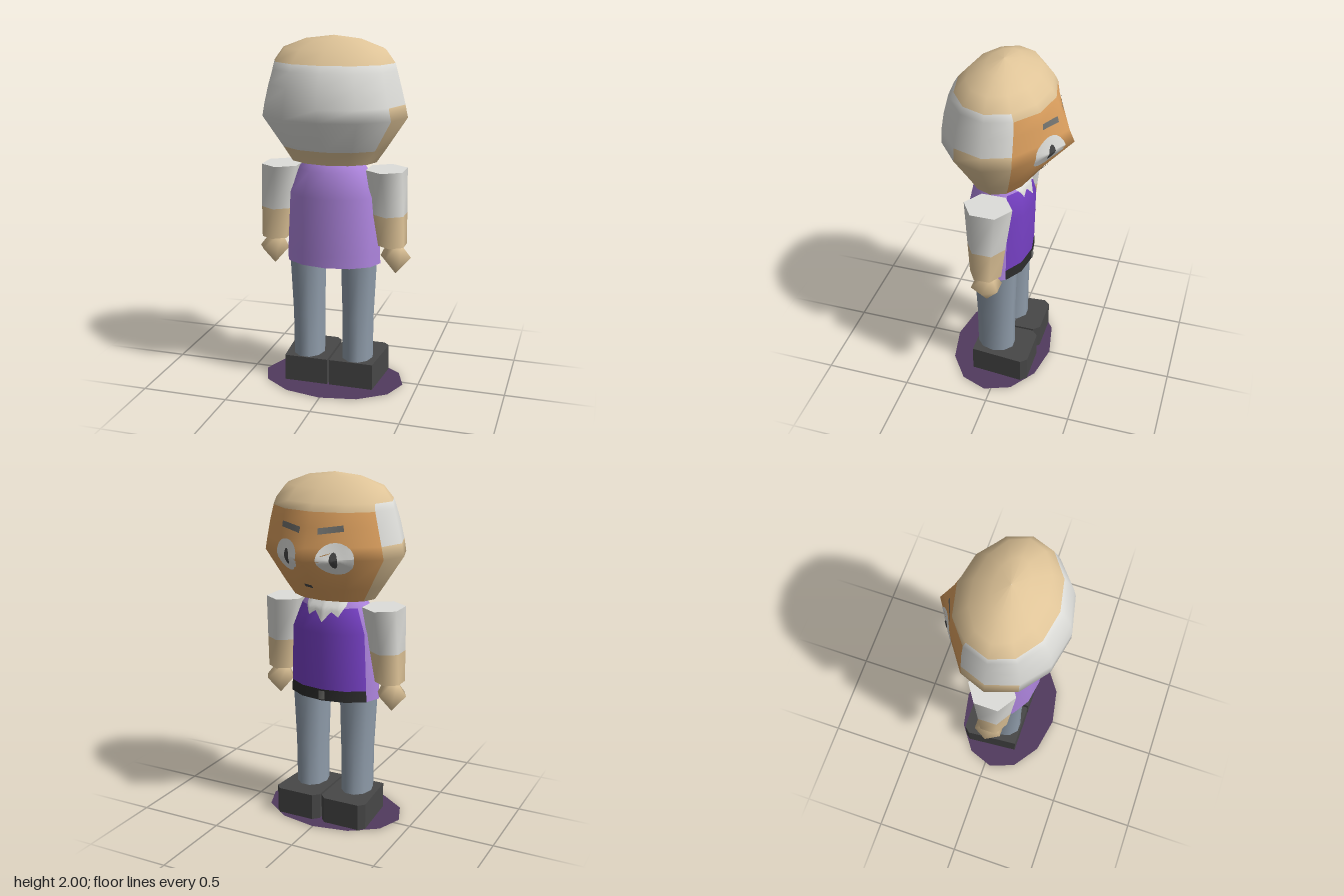
import * as THREE from 'three';

const mat = (name, color, side = THREE.FrontSide) => {
  const m = new THREE.MeshStandardMaterial({ color, side });
  m.name = name;
  return m;
};

// Ring: [y, centreX, centreZ, radiusX, radiusFront, radiusBack, ridge]; the face looks to -z
function ringPoints(r, n, phase = 0) {
  const pts = [];
  for (let k = 0; k < n; k++) {
    const a = ((k + phase) / n) * Math.PI * 2, s = Math.sin(a);
    const ridge = s < -0.99 ? r[6] || 0 : 0;
    pts.push([r[1] + r[3] * Math.cos(a), r[0], r[2] + s * (s < 0 ? r[4] : r[5]) - ridge]);
  }
  return pts;
}

// Smooth-sided loft through rings with sharp caps; pick(ring, column) gives the material
function loft(name, rings, n, phase, pick) {
  const pos = [], lists = new Map();
  const tri = (m, ...ids) => {
    if (!lists.has(m)) lists.set(m, []);
    lists.get(m).push(...ids);
  };
  rings.forEach((r) => ringPoints(r, n, phase).forEach((p) => pos.push(...p)));
  for (let j = 0; j < rings.length - 1; j++) {
    for (let k = 0; k < n; k++) {
      const a = j * n + k, b = j * n + ((k + 1) % n), m = pick(j, k);
      tri(m, a, a + n, b);
      tri(m, b, a + n, b + n);
    }
  }
  [0, rings.length - 1].forEach((j) => {
    const r = rings[j];
    if (r[3] < 0.01) return;
    const base = pos.length / 3, m = pick(Math.min(j, rings.length - 2), 0);
    pos.push(r[1], r[0], r[2]);
    ringPoints(r, n, phase).forEach((p) => pos.push(...p));
    for (let k = 0; k < n; k++) {
      const p = base + 1 + k, q = base + 1 + ((k + 1) % n);
      if (j === 0) tri(m, base, p, q);
      else tri(m, base, q, p);
    }
  });
  const geo = new THREE.BufferGeometry(), index = [], mats = [];
  for (const [m, ids] of lists) {
    geo.addGroup(index.length, ids.length, mats.length);
    index.push(...ids);
    mats.push(m);
  }
  geo.setAttribute('position', new THREE.Float32BufferAttribute(pos, 3));
  geo.setIndex(index);
  geo.computeVertexNormals();
  const mesh = new THREE.Mesh(geo, mats);
  mesh.name = name;
  return mesh;
}

// Depth of the face side of a 12-column loft at (x, y)
function frontZ(rings, x, y) {
  let j = 0;
  while (j < rings.length - 2 && rings[j + 1][0] < y) j++;
  const a = rings[j], b = rings[j + 1];
  const t = THREE.MathUtils.clamp((y - a[0]) / (b[0] - a[0]), 0, 1);
  const pts = ringPoints(a.map((v, i) => v + (b[i] - v) * t), 12);
  pts.push(pts[0]);
  for (let k = 6; k < 12; k++) {
    const [p, q] = [pts[k], pts[k + 1]];
    if (x <= q[0]) return p[2] + ((q[2] - p[2]) * (x - p[0])) / (q[0] - p[0]);
  }
  return pts[0][2];
}

// Thin painted patch laid over the face side of a loft
function patch(name, geo, rings, material, x, y, lift) {
  geo.rotateY(Math.PI).translate(x, y, 0);
  const p = geo.attributes.position;
  for (let i = 0; i < p.count; i++) p.setZ(i, frontZ(rings, p.getX(i), p.getY(i)) - lift);
  geo.computeVertexNormals();
  const mesh = new THREE.Mesh(geo, material);
  mesh.name = name;
  return mesh;
}

export function createModel() {
  const model = new THREE.Group();
  model.name = 'figure';
  const skin = mat('skin', 0xdfc498);
  const face = mat('face', 0xdb9f5e);
  const white = mat('white', 0xdededa);
  const lilac = mat('lilac', 0xae85de);
  const purple = mat('purple', 0x7640c4);
  const trousers = mat('trousers', 0x8f9caa);
  const shoe = mat('shoe', 0x474747);
  const belt = mat('belt', 0x2c2c2c);
  const grey = mat('grey', 0x72726e);
  const base = mat('base', 0x513a5e, THREE.DoubleSide);
  const isFront = (k) => k >= 7 && k <= 10;

  // Head: face in front, hair round the sides and down the back, bald crown
  const headRings = [
    [1.315, 0, 0.035, 0.245, 0.16, 0.165, 0],
    [1.395, 0, 0.03, 0.3, 0.2, 0.21, 0.03],
    [1.57, 0, 0.03, 0.415, 0.29, 0.325, 0.095],
    [1.64, 0, 0.03, 0.4, 0.29, 0.325, 0.065],
    [1.74, 0, 0.03, 0.375, 0.29, 0.31, 0.02],
    [1.82, 0, 0.03, 0.353, 0.28, 0.275, 0],
    [1.86, 0, 0.03, 0.342, 0.255, 0.25, 0],
    [1.93, 0, 0.03, 0.29, 0.19, 0.185, 0],
    [1.98, 0, 0.03, 0.16, 0.09, 0.09, 0],
    [2.0, 0, 0.03, 0.001, 0.001, 0.001, 0],
  ];
  model.add(loft('head', headRings, 12, 0, (j, k) => {
    if (j >= 6) return skin;
    if (isFront(k)) return j < 5 ? face : skin;
    if (j >= 3) return white;
    return j >= 1 && k >= 1 && k <= 4 ? white : skin;
  }));

  // Torso: shirt behind, waistcoat and belt in front
  const torsoRings = [
    [0.735, 0, 0.04, 0.275, 0.175, 0.175, 0],
    [0.8, 0, 0.04, 0.272, 0.173, 0.176, 0],
    [1.13, 0, 0.04, 0.258, 0.183, 0.185, 0],
    [1.27, 0, 0.04, 0.2, 0.15, 0.155, 0],
    [1.32, 0, 0.04, 0.16, 0.11, 0.11, 0],
  ];
  model.add(loft('torso', torsoRings, 12, 0, (j, k) => {
    if (!isFront(k) || j === 3) return lilac;
    return j === 0 ? belt : purple;
  }));

  // Jagged collar and buckle
  const collar = new THREE.PlaneGeometry(0.24, 1, 24, 6);
  const cp = collar.attributes.position;
  for (let i = 0; i < cp.count; i++) {
    const u = Math.abs(cp.getX(i)) / 0.12;
    const drop = u < 0.4 ? 0.12 - 0.15 * u : u < 0.75 ? 0.06 + 0.08 * (u - 0.4) : 0.088 - 0.24 * (u - 0.75);
    cp.setY(i, (cp.getY(i) - 0.5) * drop);
  }
  model.add(patch('collar', collar, torsoRings, white, 0, 1.312, 0.006));
  model.add(patch('buckle', new THREE.PlaneGeometry(0.04, 0.05, 2, 1), torsoRings, grey, 0, 0.768, 0.006));

  // Mouth
  model.add(patch('mouth', new THREE.PlaneGeometry(0.06, 0.018, 4, 1), headRings, shoe, 0.04, 1.41, 0.007));

  for (const s of [1, -1]) {
    const side = s > 0 ? 'left' : 'right';

    // Eye and brow
    model.add(patch(side + 'Eye', new THREE.RingGeometry(0.001, 0.088, 20, 6), headRings, white, s * 0.145, 1.58, 0.006));
    const pupil = new THREE.RingGeometry(0.001, 0.045, 12, 3).scale(0.42, 1, 1);
    model.add(patch(side + 'Pupil', pupil, headRings, shoe, s * 0.14, 1.575, 0.0095));
    const brow = new THREE.PlaneGeometry(0.13, 0.032, 8, 2).rotateZ(-s * 0.14);
    model.add(patch(side + 'Brow', brow, headRings, grey, s * 0.118, 1.733, 0.007));

    // Arm: sleeve above, bare forearm below
    model.add(loft(side + 'Arm', [
      [0.85, s * 0.343, 0.037, 0.083, 0.09, 0.09],
      [1.03, s * 0.327, 0.035, 0.098, 0.108, 0.108],
      [1.28, s * 0.303, 0.03, 0.118, 0.135, 0.135],
    ], 6, 0.5, (j) => (j === 0 ? skin : white)));

    // Hand
    model.add(loft(side + 'Hand', [
      [0.68, s * 0.36, 0.028, 0.001, 0.001, 0.001],
      [0.78, s * 0.36, 0.028, 0.087, 0.088, 0.088],
      [0.85, s * 0.35, 0.03, 0.042, 0.045, 0.045],
    ], 6, 0, () => skin));

    // Leg
    model.add(loft(side + 'Leg', [
      [0.14, s * 0.146, 0.038, 0.09, 0.112, 0.112],
      [0.42, s * 0.147, 0.038, 0.092, 0.114, 0.114],
      [0.75, s * 0.15, 0.04, 0.105, 0.125, 0.125],
    ], 10, 0, () => trousers));

    // Shoe: flared outline with clipped toe corners
    const outline = [[0.006, -0.155], [0.262, -0.155], [0.287, 0.15], [0.255, 0.185], [0.04, 0.185], [0.006, 0.15]];
    const shape = new THREE.Shape(outline.map(([x, y]) => new THREE.Vector2(s * x, y)));
    const geo = new THREE.ExtrudeGeometry(shape, { depth: 0.157, bevelEnabled: false }).rotateX(-Math.PI / 2);
    const mesh = new THREE.Mesh(geo, shoe);
    mesh.name = side + 'Shoe';
    model.add(mesh);
  }

  // Flat oval base
  const disc = new THREE.Mesh(new THREE.CircleGeometry(1, 12).scale(0.416, 0.296, 1).rotateX(-Math.PI / 2), base);
  disc.position.set(0, 0.004, 0.037);
  disc.name = 'base';
  model.add(disc);
  return model;
}
